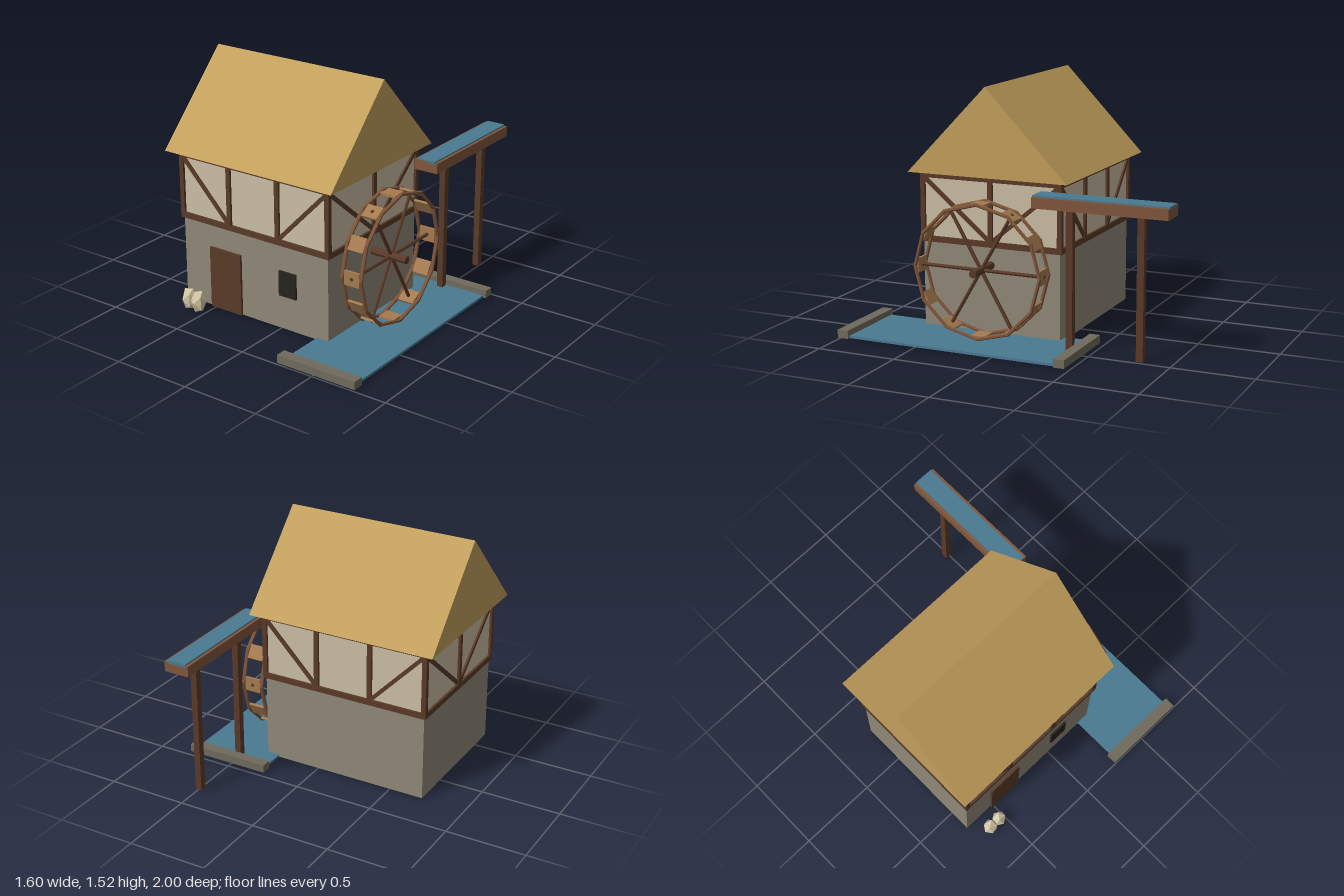
import * as THREE from 'three';

const mat = (color) => new THREE.MeshStandardMaterial({ color, flatShading: true });
const STONE = mat(0x8f8878), PLASTER = mat(0xcabda4), TIMBER = mat(0x5a3a28), THATCH = mat(0xc29f5c);
const WOOD = mat(0x80563a), PLANK = mat(0xa57b50), WATER = mat(0x4a7a92), BANK = mat(0x6f6a5c);
const DARK = mat(0x28241f), SACK = mat(0xd6cba8);

function add(parent, name, geometry, material) {
  const mesh = new THREE.Mesh(geometry, material);
  mesh.name = name;
  parent.add(mesh);
  return mesh;
}

// Box given by its extents along each axis
function box(parent, name, material, [x0, x1], [y0, y1], [z0, z1]) {
  const mesh = add(parent, name, new THREE.BoxGeometry(x1 - x0, y1 - y0, z1 - z0), material);
  mesh.position.set((x0 + x1) / 2, (y0 + y1) / 2, (z0 + z1) / 2);
  return mesh;
}

// Square timber running from point a to point b
function beam(parent, name, a, b, width = 0.03) {
  const from = new THREE.Vector3(...a), to = new THREE.Vector3(...b);
  const mesh = add(parent, name, new THREE.BoxGeometry(width, width, from.distanceTo(to)), TIMBER);
  mesh.position.copy(from).add(to).multiplyScalar(0.5);
  mesh.lookAt(to);
  return mesh;
}

const X0 = -0.725, X1 = 0.355, Z0 = -0.26, Z1 = 0.64, MID_Z = 0.19;

function createHouse() {
  const house = new THREE.Group();
  house.name = 'house';
  box(house, 'stoneBase', STONE, [X0, X1], [0.01, 0.55], [Z0, Z1]);
  box(house, 'plasterWalls', PLASTER, [X0, X1], [0.55, 0.98], [Z0, Z1]);
  box(house, 'door', TIMBER, [-0.52, -0.285], [0.01, 0.405], [0.62, 0.655]);
  box(house, 'window', DARK, [0.002, 0.127], [0.227, 0.387], [0.62, 0.652]);

  // Gable roof: triangular prism along x
  const gable = new THREE.Shape([[-0.52, 0.98], [0.52, 0.98], [0, 1.52]].map((p) => new THREE.Vector2(...p)));
  const roof = add(house, 'roof', new THREE.ExtrudeGeometry(gable, { depth: 1.225, bevelEnabled: false }), THATCH);
  roof.rotation.y = Math.PI / 2;
  roof.position.set(-0.8, 0, MID_Z);

  // Timber frame
  const frame = new THREE.Group();
  frame.name = 'timberFrame';
  house.add(frame);
  const low = 0.5675, high = 0.9625, xa = -0.365, xb = -0.005;
  for (const z of [Z0, Z1]) {
    for (const y of [low, high]) {
      box(frame, 'longBeam', TIMBER, [X0 - 0.015, X1 + 0.015], [y - 0.0175, y + 0.0175], [z - 0.015, z + 0.015]);
    }
    for (const x of [X0, xa, xb, X1]) {
      box(frame, 'post', TIMBER, [x - 0.015, x + 0.015], [low, high], [z - 0.015, z + 0.015]);
    }
    beam(frame, 'brace', [X0, high - 0.01, z], [xa, low + 0.01, z], 0.024);
    beam(frame, 'brace', [xb, low + 0.01, z], [X1, high - 0.01, z], 0.024);
  }
  for (const x of [X0, X1]) {
    for (const y of [low, high]) {
      box(frame, 'crossBeam', TIMBER, [x - 0.015, x + 0.015], [y - 0.0175, y + 0.0175], [Z0 - 0.015, Z1 + 0.015]);
    }
    box(frame, 'sidePost', TIMBER, [x - 0.015, x + 0.015], [low, high], [MID_Z - 0.015, MID_Z + 0.015]);
    for (const z of [Z0, Z1]) {
      beam(frame, 'sideBrace', [x, high - 0.01, z], [x, low + 0.01, MID_Z], 0.024);
    }
  }
  return house;
}

// Wheel is built in the xy plane, then turned so its axle runs along x
function createWheel() {
  const wheel = new THREE.Group();
  wheel.name = 'waterWheel';
  for (const side of [-1, 1]) {
    add(wheel, 'rim', new THREE.TorusGeometry(0.407, 0.012, 6, 12), WOOD).position.z = side * 0.065;
  }
  for (let i = 0; i < 12; i++) {
    const angle = (i * Math.PI) / 6;
    const paddle = add(wheel, 'paddle', new THREE.BoxGeometry(0.015, 0.09, 0.105), PLANK);
    paddle.position.set(Math.cos(angle) * 0.398, Math.sin(angle) * 0.398, 0);
    paddle.rotation.z = angle;
  }
  for (let i = 0; i < 3; i++) {
    const spoke = add(wheel, 'spoke', new THREE.CylinderGeometry(0.011, 0.011, 0.82, 6), TIMBER);
    spoke.rotation.z = Math.PI / 2 + (i * Math.PI) / 3;
  }
  const axle = add(wheel, 'axle', new THREE.CylinderGeometry(0.025, 0.025, 0.25, 8), TIMBER);
  axle.rotation.x = Math.PI / 2;
  axle.position.z = -0.013;
  wheel.rotation.y = Math.PI / 2;
  wheel.position.set(0.488, 0.44, MID_Z);
  return wheel;
}

function createWaterworks() {
  const group = new THREE.Group();
  group.name = 'waterworks';
  // Stream with a stone bank at each end
  box(group, 'stream', WATER, [0.275, 0.775], [0.01, 0.025], [-0.42, 0.94]);
  for (const z of [[-0.475, -0.41], [0.93, 1]]) box(group, 'bank', BANK, [0.255, 0.795], [0.01, 0.06], z);
  // Raised trough feeding the wheel
  box(group, 'trough', WOOD, [0.408, 0.568], [0.86, 0.925], [-1, -0.17]);
  box(group, 'troughWater', WATER, [0.426, 0.55], [0.915, 0.934], [-1, -0.17]);
  for (const z of [-0.382, -0.817]) {
    box(group, 'troughPost', TIMBER, [0.468, 0.508], [0.01, 0.86], [z - 0.021, z + 0.021]);
  }
  return group;
}

export function createModel() {
  const model = new THREE.Group();
  model.name = 'waterMill';
  model.add(createHouse(), createWheel(), createWaterworks());

  // Two sacks by the door
  [[-0.62, 0.6], [-0.547, 1.0]].forEach(([x, turn]) => {
    const sack = add(model, 'sack', new THREE.IcosahedronGeometry(1, 0).rotateY(turn), SACK);
    sack.scale.set(0.05, 0.079, 0.046);
    sack.position.set(x, 0.067, 0.745);
  });
  return model;
}
